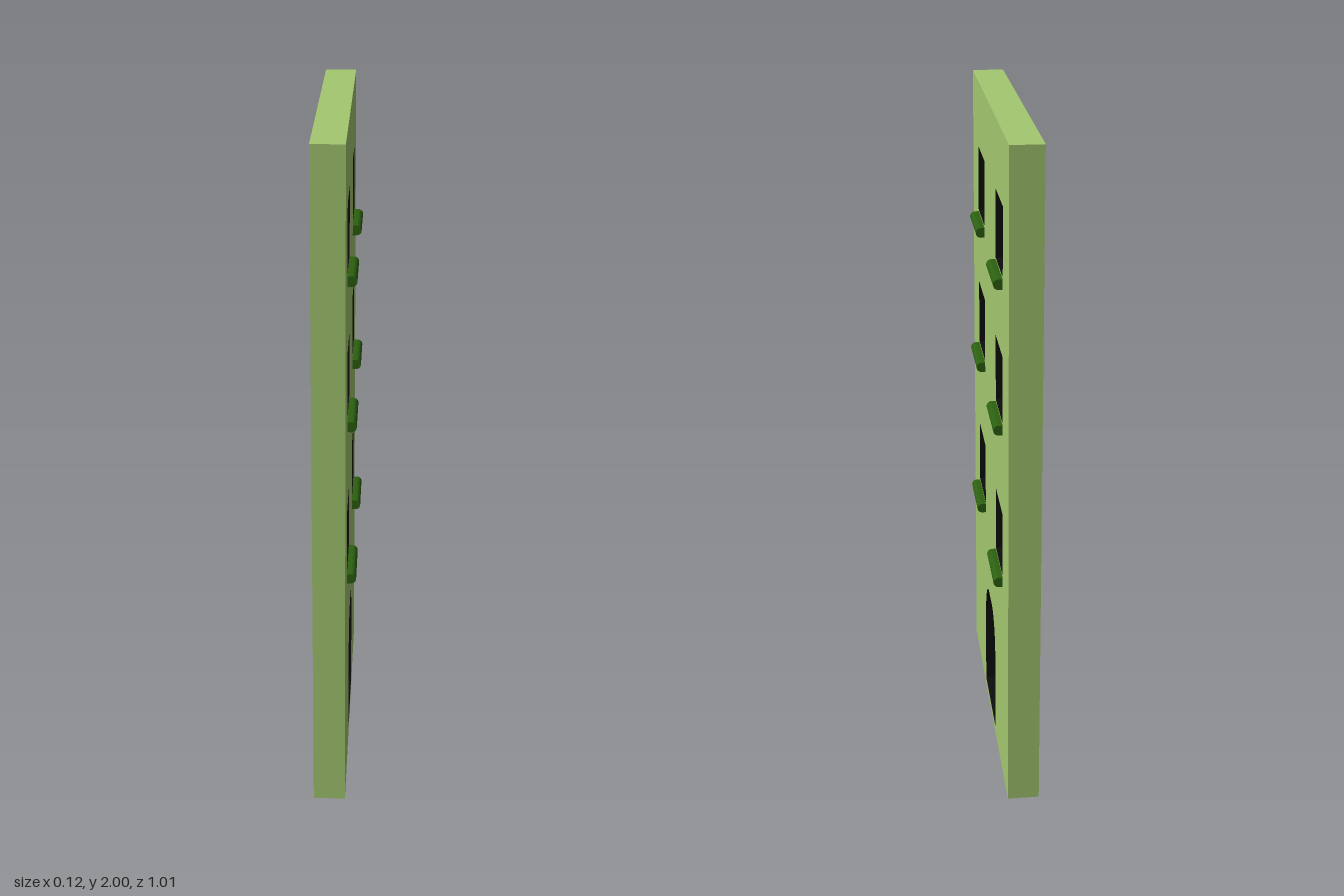
import * as THREE from 'three';

const W = 0.506, H = 2, BACK = -0.062, FRONT = 0.032, RECESS = 0.03;

const mat = (color, side = THREE.FrontSide) => new THREE.MeshStandardMaterial({ color, side });

function rectShape(x0, x1, y0, y1) {
  const s = new THREE.Shape();
  s.moveTo(x0, y0).lineTo(x1, y0).lineTo(x1, y1).lineTo(x0, y1).closePath();
  return s;
}

// Door outline: straight jambs and a flattened arch
function doorShape() {
  const s = new THREE.Shape();
  s.moveTo(-0.155, 0.02).lineTo(0.145, 0.02).lineTo(0.145, 0.26);
  s.bezierCurveTo(0.145, 0.345, 0.1, 0.408, 0.03, 0.408);
  s.lineTo(-0.04, 0.408);
  s.bezierCurveTo(-0.11, 0.408, -0.155, 0.345, -0.155, 0.26);
  s.closePath();
  return s;
}

// Side walls of an extruded outline, without its caps
function revealGeometry(shape) {
  const g = new THREE.ExtrudeGeometry(shape, { depth: RECESS, bevelEnabled: false, curveSegments: 10 });
  const { start, count } = g.groups[1];
  const out = new THREE.BufferGeometry();
  for (const name of ['position', 'normal']) {
    const a = g.attributes[name].array.slice(start * 3, (start + count) * 3);
    out.setAttribute(name, new THREE.BufferAttribute(a, 3));
  }
  return out;
}

export function createModel() {
  const model = new THREE.Group();
  model.name = 'buildingFacade';
  // Built facing +z, then turned to face +x
  const facade = new THREE.Group();
  facade.name = 'facade';
  facade.rotation.y = Math.PI / 2;
  model.add(facade);

  const green = mat(0xa4c970), black = mat(0x0d0d0d, THREE.DoubleSide), darkGreen = mat(0x2c6010);
  const add = (name, geo, material, x = 0, y = 0, z = 0) => {
    const m = new THREE.Mesh(geo, material);
    m.name = name;
    m.position.set(x, y, z);
    facade.add(m);
  };

  const columns = [[-0.337, -0.148], [0.168, 0.356]];
  const floors = [0.68, 1.167, 1.6];
  const openings = [{ name: 'door', shape: doorShape() }];
  for (const y of floors) {
    for (const [x0, x1] of columns) {
      openings.push({ name: 'window', shape: rectShape(x0, x1, y, y + 0.2) });
    }
  }

  // Wall block without its front face (the fifth box face)
  const box = new THREE.BoxGeometry(2 * W, H, FRONT - BACK);
  const index = Array.from(box.index.array);
  index.splice(24, 6);
  box.setIndex(index);
  box.clearGroups();
  add('wall', box, green, 0, H / 2, (FRONT + BACK) / 2);

  // Front face pierced by the openings
  const face = rectShape(-W, W, 0, H);
  face.holes = openings.map(o => o.shape);
  add('wallFront', new THREE.ShapeGeometry(face, 10), green, 0, 0, FRONT);

  // Dark recesses
  for (const { name, shape } of openings) {
    add(name + 'Pane', new THREE.ShapeGeometry(shape, 10), black, 0, 0, FRONT - RECESS);
    add(name + 'Reveal', revealGeometry(shape), black, 0, 0, FRONT - RECESS);
  }

  // Round-nosed sills under the windows
  const r = 0.015, nose = 0.059 - FRONT - r;
  const profile = new THREE.Shape();
  profile.moveTo(0, -r).lineTo(nose, -r);
  profile.absarc(nose, 0, r, -Math.PI / 2, Math.PI / 2, false);
  profile.lineTo(0, r).closePath();
  for (const y of floors) {
    for (const [x0, x1] of columns) {
      const sill = new THREE.ExtrudeGeometry(profile, { depth: x1 - x0, bevelEnabled: false, curveSegments: 8 });
      sill.rotateY(-Math.PI / 2);
      add('windowSill', sill, darkGreen, x1, y - 0.02, FRONT);
    }
  }
  return model;
}
